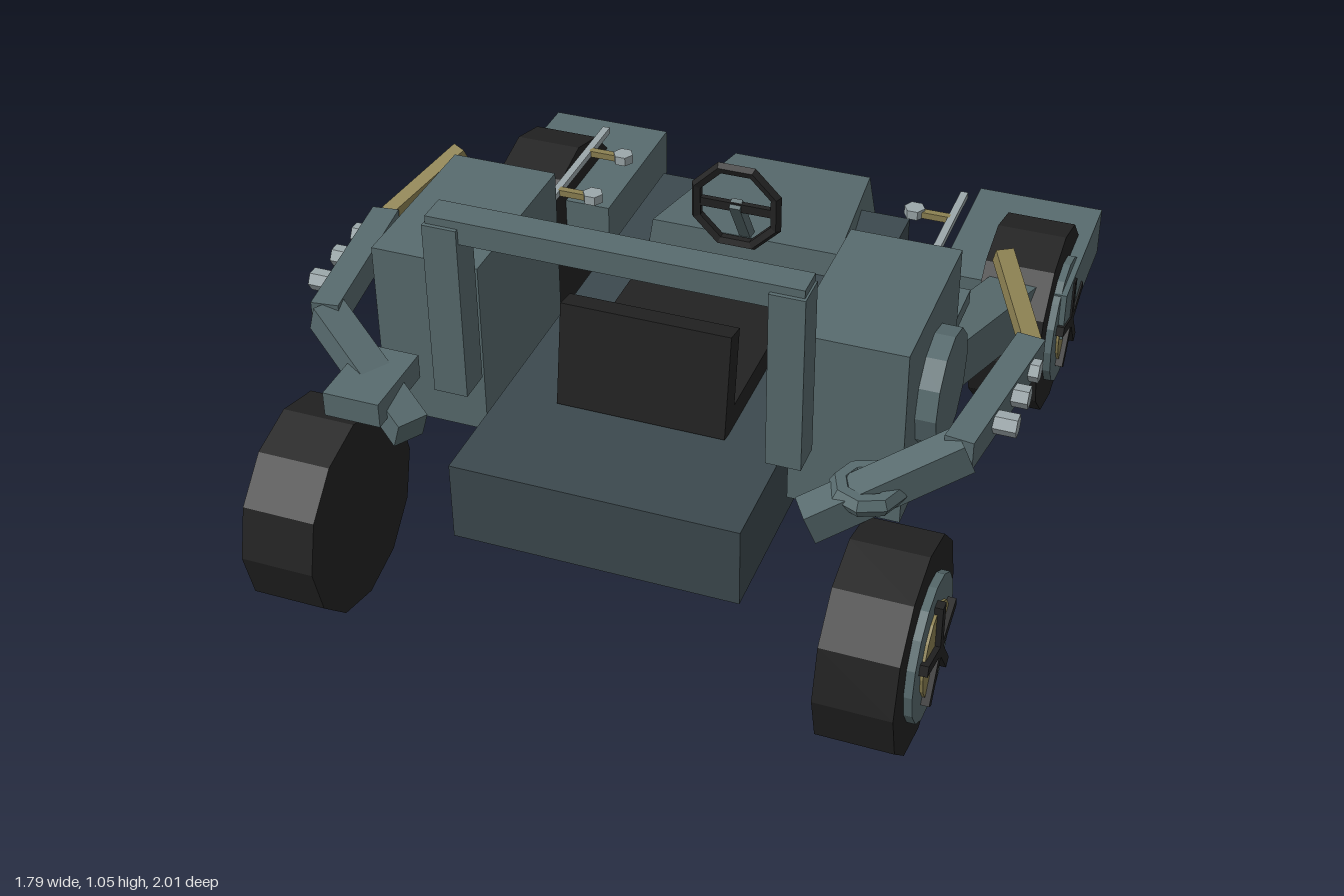
import * as THREE from 'three';

const mat = (name, color) => {
  const m = new THREE.MeshStandardMaterial({ color });
  m.name = name;
  return m;
};

export function createModel() {
  const root = new THREE.Group();
  root.name = 'openBuggy';
  const teal = mat('slate teal', 0x586b6e);
  const dark = mat('dark slate', 0x3c494e);
  const black = mat('rubber black', 0x222222);
  const gold = mat('dull gold', 0x8c8152);
  const steel = mat('pale steel', 0x9ca8ab);

  // Faceted mesh
  const add = (name, geo, material, parent = root) => {
    const g = geo.index ? geo.toNonIndexed() : geo;
    g.computeVertexNormals();
    const mesh = new THREE.Mesh(g, material);
    mesh.name = name;
    parent.add(mesh);
    return mesh;
  };
  // Box given by its minimum and maximum corners
  const box = (name, a, b, material) => {
    const m = add(name, new THREE.BoxGeometry(
      Math.abs(b[0] - a[0]), Math.abs(b[1] - a[1]), Math.abs(b[2] - a[2])), material);
    m.position.set((a[0] + b[0]) / 2, (a[1] + b[1]) / 2, (a[2] + b[2]) / 2);
    return m;
  };
  // Box running between two points
  const beam = (name, a, b, w, h, material) => {
    const p = new THREE.Vector3(...a), q = new THREE.Vector3(...b);
    const m = add(name, new THREE.BoxGeometry(w, h, p.distanceTo(q)), material);
    m.position.copy(p).add(q).multiplyScalar(0.5);
    m.lookAt(q);
    return m;
  };
  // Cylinder along x from x0 to x1
  const disc = (name, r, x0, x1, y, z, sides, material, parent = root) => {
    const g = new THREE.CylinderGeometry(r, r, Math.abs(x1 - x0), sides).rotateZ(Math.PI / 2);
    const m = add(name, g, material, parent);
    m.position.set((x0 + x1) / 2, y, z);
    return m;
  };

  // Chassis
  box('chassis', [-0.36, 0.26, -0.66], [0.36, 0.47, 0.76], dark);

  // Tapered hood, sloping down towards the rear
  const hood = new THREE.BoxGeometry(2, 2, 2);
  const hp = hood.attributes.position;
  for (let i = 0; i < hp.count; i++) {
    const near = hp.getZ(i) > 0, top = hp.getY(i) > 0;
    const w = near ? (top ? 0.26 : 0.285) : (top ? 0.2 : 0.215);
    const y = near ? (top ? 0.54 : 0.36) : (top ? 0.48 : 0.34);
    const z = near ? (top ? -0.315 : -0.3) : (top ? -0.82 : -0.845);
    hp.setXYZ(i, Math.sign(hp.getX(i)) * w, y, z);
  }
  add('hood', hood, teal);

  // Seat
  box('seatCushion', [-0.215, 0.46, -0.04], [0.215, 0.53, 0.4], black);
  beam('seatBack', [0, 0.47, 0.425], [0, 0.735, 0.38], 0.43, 0.06, black);
  beam('seatBackPanel', [0, 0.53, 0.378], [0, 0.71, 0.346], 0.33, 0.02, dark);

  // Steering wheel and column
  const rim = add('steeringWheel',
    new THREE.TorusGeometry(0.117, 0.016, 5, 8).rotateZ(Math.PI / 8), black);
  rim.position.set(0, 0.675, -0.245);
  box('steeringSpoke', [-0.11, 0.663, -0.253], [0.11, 0.687, -0.237], black);
  beam('steeringColumn', [0, 0.685, -0.24], [0, 0.53, -0.34], 0.03, 0.03, teal);

  // Roll bar
  box('rollBarTop', [-0.45, 0.99, 0.535], [0.45, 1.05, 0.61], teal);

  for (const s of [1, -1]) {
    box('rollBarPost', [s * 0.37, 0.57, 0.535], [s * 0.455, 1.03, 0.62], teal);

    // Side housings with round cover
    box('sideHousing', [s * 0.385, 0.38, 0.03], [s * 0.66, 0.85, 0.495], teal);
    disc('housingCover', 0.145, s * 0.65, s * 0.71, 0.62, 0.265, 12, teal);
    box('housingBar', [s * 0.595, 0.535, 0.05], [s * 0.635, 0.575, -0.22], teal);

    // Rear suspension arm and rear block
    beam('rearArm', [s * 0.565, 0.49, 0.1], [s * 0.72, 0.36, -0.6], 0.125, 0.135, teal);
    box('rearBlock', [s * 0.48, 0.26, -1], [s * 0.83, 0.4, -0.535], teal);

    // Front arm with bolts and gold strut
    beam('upperArm', [s * 0.85, 0.637, 0.07], [s * 0.79, 0.637, 0.52], 0.07, 0.075, teal);
    beam('foreArm', [s * 0.8, 0.635, 0.5], [s * 0.49, 0.49, 0.69], 0.08, 0.08, teal);
    beam('goldStrut', [s * 0.855, 0.635, 0.07], [s * 0.725, 0.75, -0.14], 0.045, 0.045, gold);
    for (const z of [0.16, 0.27, 0.385])
      disc('armBolt', 0.028, s * 0.83, s * 0.895, 0.642, z, 6, steel);

    // Side rail with pegs
    box('sideRail', [s * 0.505, 0.593, -0.62], [s * 0.525, 0.611, 0.04], steel);
    for (const z of [-0.49, -0.27, -0.047]) {
      box('railPeg', [s * 0.41, 0.593, z - 0.01], [s * 0.51, 0.611, z + 0.01], gold);
      const knob = add('railKnob', new THREE.CylinderGeometry(0.028, 0.028, 0.025, 6)
        .rotateY(Math.PI / 6), steel);
      knob.position.set(s * 0.413, 0.605, z);
    }

    // Wheels
    for (const z of [0.747, -0.638]) {
      const wheel = new THREE.Group();
      wheel.name = z > 0 ? 'frontWheel' : 'rearWheel';
      wheel.position.set(0, 0.258, z);
      root.add(wheel);
      disc('tyre', 0.258, s * 0.61, s * 0.795, 0, 0, 12, black, wheel);
      disc('wheelRim', 0.175, s * 0.78, s * 0.815, 0, 0, 16, teal, wheel);
      disc('hubPlate', 0.112, s * 0.8, s * 0.822, 0, 0, 16, gold, wheel);
      for (let i = 0; i < 5; i++) {
        const spoke = add('wheelSpoke',
          new THREE.BoxGeometry(0.03, 0.13, 0.026).translate(s * 0.82, 0.065, 0), black, wheel);
        spoke.rotation.x = i * Math.PI * 2 / 5;
      }
    }
  }

  // Feet: flat pad on the right arm, ring on the left arm
  box('rightFootPad', [-0.685, 0.525, 0.53], [-0.54, 0.59, 0.745], teal);
  const ring = add('leftFootRing', new THREE.TorusGeometry(0.065, 0.026, 6, 8)
    .rotateX(Math.PI / 2), teal);
  ring.position.set(0.61, 0.555, 0.61);

  return root;
}
